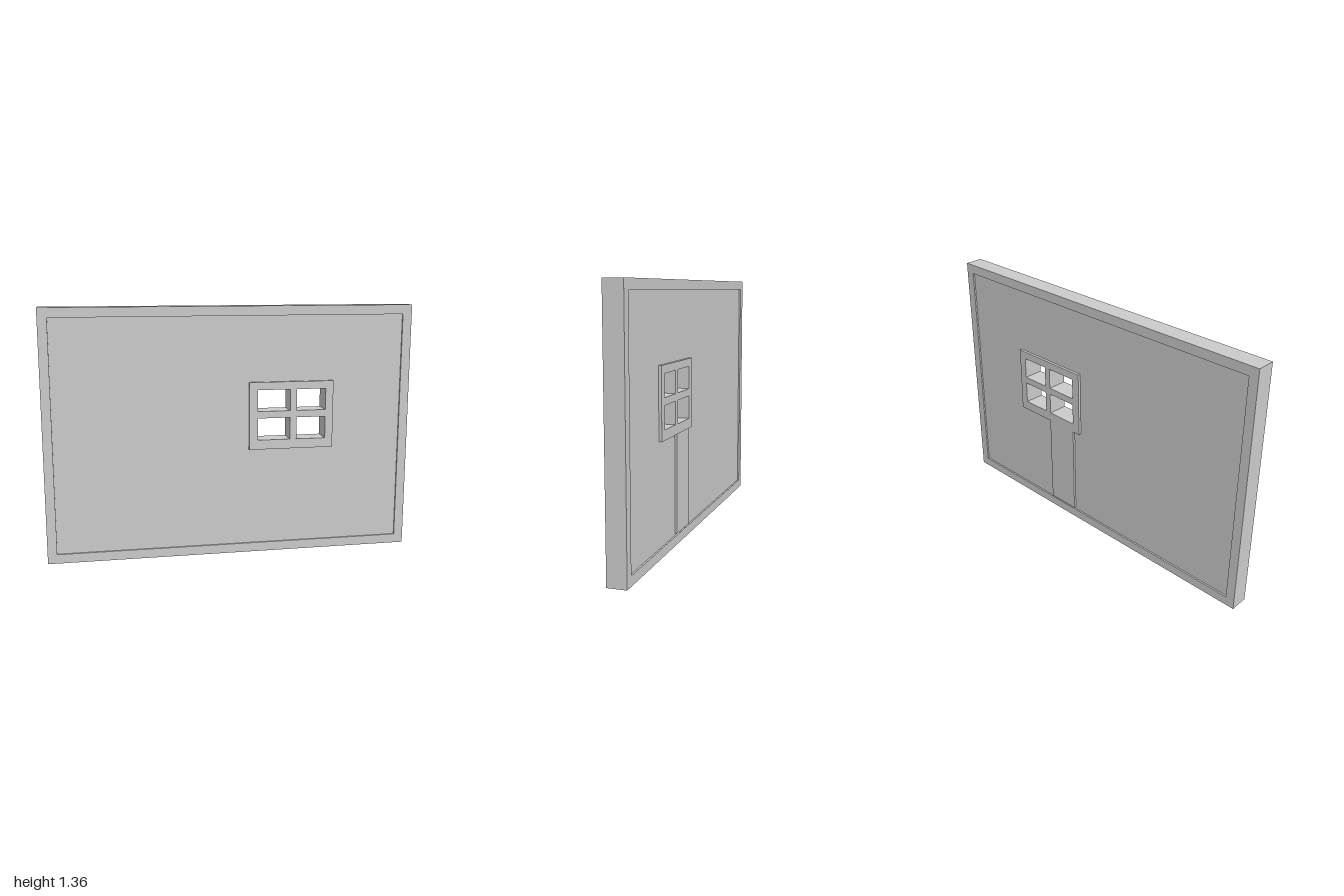
import * as THREE from 'three';

const material = new THREE.MeshStandardMaterial({ color: 0xcccccc, flatShading: true });

// Rectangle outline from its two opposite corners
function rect(Type, [x0, y0, x1, y1]) {
  return new Type([[x0, y0], [x1, y0], [x1, y1], [x0, y1]].map(([x, y]) => new THREE.Vector2(x, y)));
}

// Flat slab between two z planes, with rectangular openings
function slab(name, outline, openings, zBack, zFront) {
  const shape = rect(THREE.Shape, outline);
  shape.holes = openings.map((o) => rect(THREE.Path, o));
  const geometry = new THREE.ExtrudeGeometry(shape, { depth: zFront - zBack, bevelEnabled: false });
  geometry.translate(0, 0, zBack);
  const mesh = new THREE.Mesh(geometry, material);
  mesh.name = name;
  return mesh;
}

export function createModel() {
  const group = new THREE.Group();
  group.name = 'wallWithWindow';

  const field = [-0.95, 0.05, 0.95, 1.307];
  const windowOutline = [0.095, 0.583, 0.563, 0.952];

  // Four panes, two columns by two rows
  const panes = [];
  for (const [x0, x1] of [[0.142, 0.322], [0.358, 0.52]]) {
    for (const [y0, y1] of [[0.635, 0.755], [0.793, 0.91]]) panes.push([x0, y0, x1, y1]);
  }

  group.add(
    // Raised border round the wall
    slab('wallBorder', [-1, 0, 1, 1.358], [field], -0.05, 0.05),
    // Slightly recessed wall surface
    slab('wallPanel', field, [windowOutline], -0.041, 0.041),
    // Window frame with crossing bars, proud of both faces
    slab('windowFrame', windowOutline, panes, -0.056, 0.055),
    // Upright strip below the window on the back
    slab('backStrip', [0.145, 0.06, 0.33, 0.583], [], -0.053, -0.041),
  );
  return group;
}
